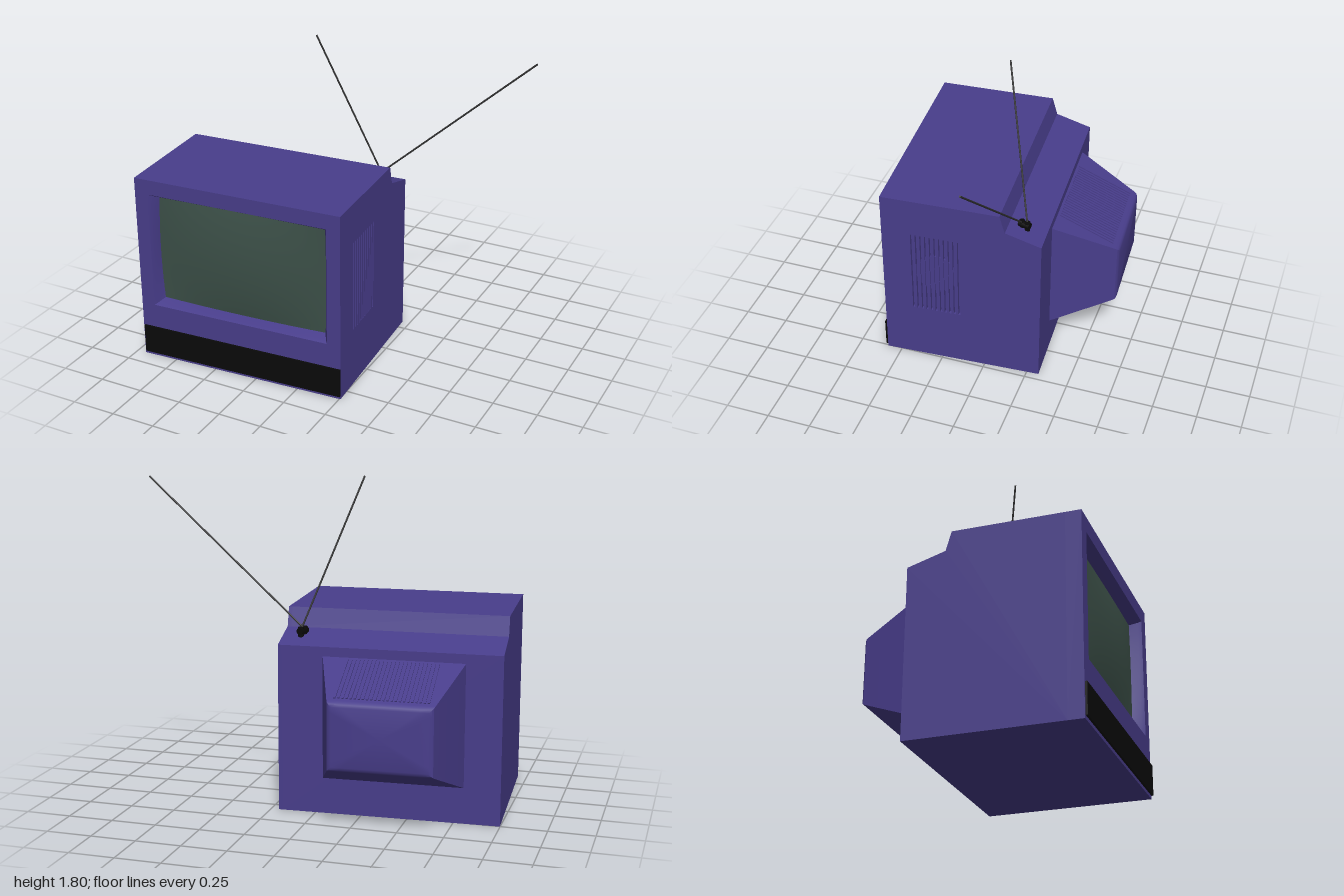
import * as THREE from 'three';
import { toCreasedNormals } from 'three/addons/utils/BufferGeometryUtils.js';

const mat = (color, side = THREE.FrontSide) => new THREE.MeshStandardMaterial({ color, side });
const purple = mat(0x483d8b);
const purpleThin = mat(0x483d8b, THREE.DoubleSide);
const glass = mat(0x3c5048);
const black = mat(0x0a0a0a);
const metal = mat(0x333333);

// half width, depth and height of the cabinet
const W = 0.603, D = 0.453, H = 1.085;

function add(parent, name, geometry, material) {
  const mesh = new THREE.Mesh(geometry, material);
  mesh.name = name;
  parent.add(mesh);
  return mesh;
}

function rectPath(Type, x0, y0, x1, y1) {
  return new Type([[x0, y0], [x1, y0], [x1, y1], [x0, y1]].map(p => new THREE.Vector2(...p)));
}

// rectangle whose sides bow outward between its corners
function bowed(u, v, hx, hy, cx, cy, z, bow) {
  return new THREE.Vector3(cx + hx * u * (1 - bow * v * v), cy + hy * v * (1 - bow * u * u), z);
}

function rectLoop(hx, hy, cx, cy, z, bow = 0, n = 10) {
  const loop = [];
  for (let side = 0; side < 4; side++) {
    for (let i = 0; i < n; i++) {
      const t = -1 + 2 * i / n;
      const [u, v] = [[1, t], [-t, 1], [-1, -t], [t, -1]][side];
      loop.push(bowed(u, v, hx, hy, cx, cy, z, bow));
    }
  }
  return loop;
}

// skin over loops that step towards -z
function loft(loops, cap) {
  const points = [], n = loops[0].length;
  for (let k = 0; k < loops.length - 1; k++) {
    const a = loops[k], b = loops[k + 1];
    for (let i = 0; i < n; i++) {
      const j = (i + 1) % n;
      points.push(a[i], b[i], a[j], a[j], b[i], b[j]);
    }
  }
  if (cap) {
    const last = loops[loops.length - 1];
    const centre = last.reduce((s, p) => s.add(p), new THREE.Vector3()).divideScalar(n);
    for (let i = 0; i < n; i++) points.push(centre, last[(i + 1) % n], last[i]);
  }
  return toCreasedNormals(new THREE.BufferGeometry().setFromPoints(points), 0.5);
}

// side outline of the cabinet, with a sloped shelf at the back
function sideShape() {
  const outline = [[-0.37, 0], [D, 0], [D, 0.92], [0.25, 0.98], [0.22, H], [-0.37, H]];
  return new THREE.Shape(outline.map(p => new THREE.Vector2(...p)));
}

function extrudeAlongX(shape, x0, x1) {
  return new THREE.ExtrudeGeometry(shape, { depth: x1 - x0, bevelEnabled: false, curveSegments: 24 })
    .rotateY(Math.PI / 2).translate(x0, 0, 0);
}

function buildCabinet(set) {
  add(set, 'cabinet', extrudeAlongX(sideShape(), -W, W - 0.02), purple);

  // side wall with a row of upright speaker slits
  const wall = sideShape();
  for (let i = 0; i < 11; i++) {
    const z = 0.007 + i * 0.0268;
    wall.holes.push(rectPath(THREE.Path, -z - 0.012, 0.34, -z, 0.86));
  }
  add(set, 'speakerWall', extrudeAlongX(wall, W - 0.02, W), purple);
  const speaker = add(set, 'speakerDisc', new THREE.CylinderGeometry(0.12, 0.12, 0.012, 40), purple);
  speaker.rotation.z = Math.PI / 2;
  speaker.position.set(W - 0.014, 0.607, 0.147);

  // front frame around the screen
  const frame = rectPath(THREE.Shape, -W, 0, W, H);
  frame.holes.push(rectPath(THREE.Path, -0.525, 0.325, 0.525, 1.0));
  const frameGeo = new THREE.ExtrudeGeometry(frame, { depth: D - 0.37, bevelEnabled: false });
  add(set, 'frontFrame', frameGeo.translate(0, 0, 0.37), purple);
  add(set, 'screenRecess', loft([
    rectLoop(0.525, 0.3375, 0, 0.6625, D),
    rectLoop(0.515, 0.329, 0, 0.661, 0.435, 0.006),
    rectLoop(0.5, 0.316, 0, 0.66, 0.388, 0.025),
  ]), purpleThin);

  // bulging glass
  const screen = new THREE.PlaneGeometry(2, 2, 24, 18);
  const pos = screen.attributes.position;
  for (let i = 0; i < pos.count; i++) {
    const u = pos.getX(i), v = pos.getY(i);
    const p = bowed(u, v, 0.502, 0.318, 0, 0.66, 0.39 + 0.03 * (1 - u * u) * (1 - v * v), 0.025);
    pos.setXYZ(i, p.x, p.y, p.z);
  }
  screen.computeVertexNormals();
  add(set, 'screen', screen, glass);

  // dark control strip
  const strip = add(set, 'controlStrip', new THREE.BoxGeometry(1.197, 0.167, 0.03), black);
  strip.position.set(0.004, 0.102, D - 0.004);
}

function buildTubeHousing(set) {
  const cx = -0.025, cy = 0.533;
  add(set, 'tubeHousing', loft([
    rectLoop(0.383, 0.337, cx, cy, -0.45),
    rectLoop(0.28, 0.188, cx, cy, -0.79),
    rectLoop(0.275, 0.181, cx, cy, -0.804),
    rectLoop(0.266, 0.172, cx, cy, -0.812),
    rectLoop(0.252, 0.158, cx, cy, -0.816),
  ], true), purple);

  // ribs lying on the sloped top
  const vent = new THREE.Group();
  vent.name = 'topVent';
  vent.position.set(cx, cy + 0.2625, -0.62);
  vent.rotation.x = -Math.atan2(0.149, 0.34);
  for (let i = 0; i < 24; i++) {
    const rib = add(vent, 'ventRib', new THREE.BoxGeometry(0.011, 0.012, 0.335), purple);
    rib.position.x = -0.243 + i * 0.0211;
  }
  set.add(vent);
}

function rod(parent, name, from, to, radius, material) {
  const a = new THREE.Vector3(...from), b = new THREE.Vector3(...to);
  const dir = b.clone().sub(a);
  const mesh = add(parent, name, new THREE.CylinderGeometry(radius, radius, dir.length(), 10), material);
  mesh.position.copy(a).add(b).multiplyScalar(0.5);
  mesh.quaternion.setFromUnitVectors(new THREE.Vector3(0, 1, 0), dir.normalize());
}

function buildAntenna() {
  const antenna = new THREE.Group();
  antenna.name = 'antenna';
  const feet = [[0.102, 0.985, -0.177], [0.11, 0.985, -0.21]];
  const tips = [[0.995, 1.78, -0.157], [-0.187, 1.8, -0.012]];
  feet.forEach((foot, i) => {
    rod(antenna, 'antennaPivot', [foot[0], 0.93, foot[2]], [foot[0], 1.0, foot[2]], 0.016, black);
    rod(antenna, 'antennaRod', foot, tips[i], 0.005, metal);
  });
  rod(antenna, 'antennaHinge', [0.097, 0.978, -0.162], [0.114, 0.978, -0.225], 0.02, black);
  return antenna;
}

export function createModel() {
  const model = new THREE.Group();
  model.name = 'television';
  // the set stands slightly turned
  const set = new THREE.Group();
  set.name = 'televisionSet';
  set.position.set(-0.371, 0, 0.167);
  set.rotation.y = 0.057;
  buildCabinet(set);
  buildTubeHousing(set);
  model.add(set, buildAntenna());
  return model;
}
